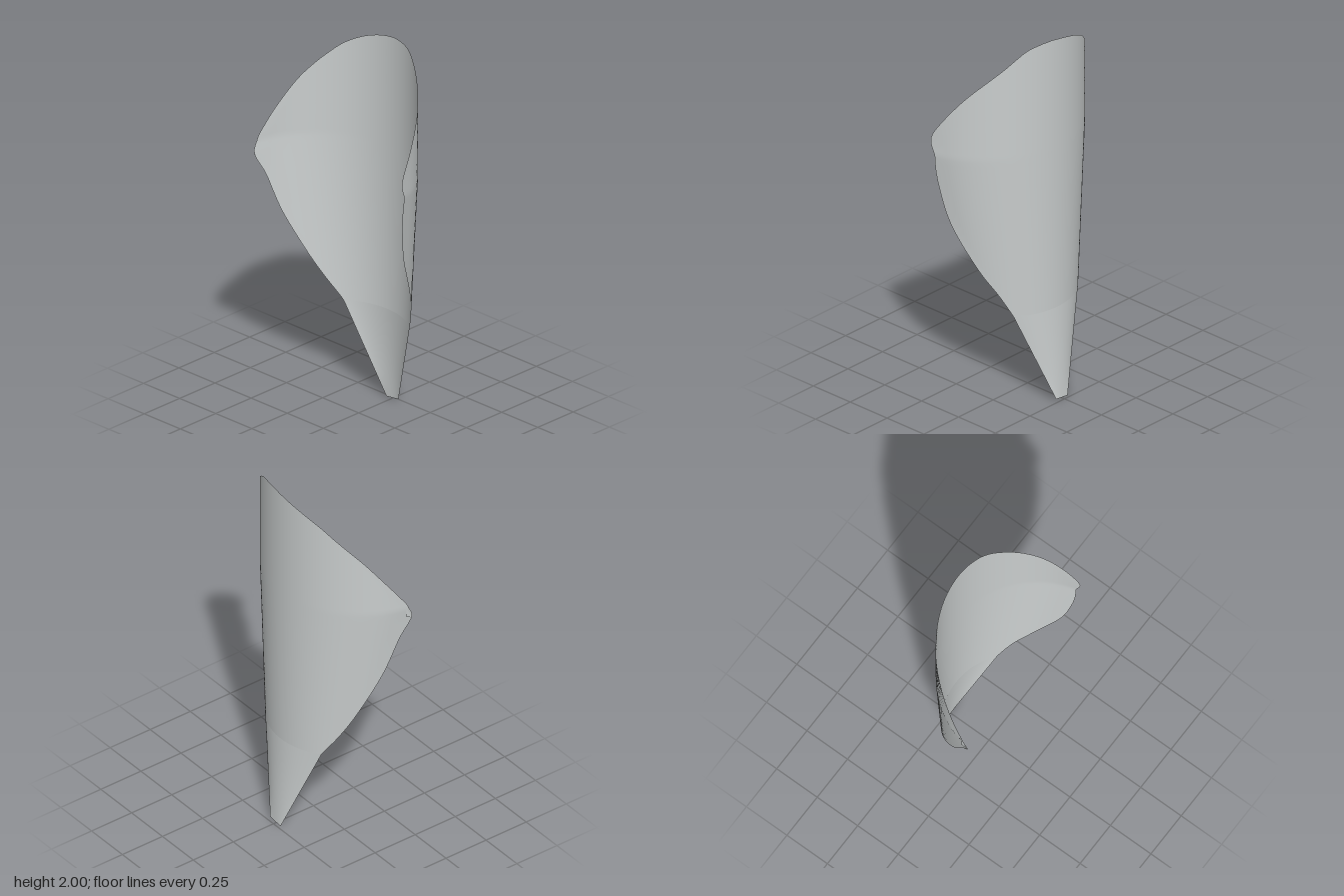
import * as THREE from 'three';

// Blade outline, bottom to top: height, right edge x, left edge x
const OUTLINE = [
  [0.5, -0.228, 0.232], [0.62, -0.295, 0.288], [0.75, -0.35, 0.35], [0.97, -0.417, 0.42],
  [1.2, -0.464, 0.462], [1.38, -0.495, 0.485], [1.49, -0.482, 0.491], [1.6, -0.452, 0.472],
  [1.7, -0.41, 0.438], [1.77, -0.365, 0.4], [1.84, -0.305, 0.345], [1.9, -0.24, 0.285],
  [1.95, -0.15, 0.23], [1.975, -0.08, 0.195], [1.99, -0.02, 0.16], [2.0, 0.04, 0.1],
];
const BACK = -0.204;

// Depth of the cupped blade: a circular arc that opens out with height
function depth(x, y) {
  const r = Math.min(0.3 + 0.145 * y, 0.502);
  return BACK + r - Math.sqrt(Math.max(r * r - x * x, 0));
}

// Skin a sheet through a grid given by point(u, v)
function sheet(cols, rows, point) {
  const pos = [], index = [];
  for (let j = 0; j <= rows; j++) {
    for (let i = 0; i <= cols; i++) pos.push(...point(i / cols, j / rows));
  }
  for (let j = 0; j < rows; j++) {
    for (let i = 0; i < cols; i++) {
      const a = j * (cols + 1) + i, b = a + cols + 1;
      index.push(a, a + 1, b + 1, a, b + 1, b);
    }
  }
  const g = new THREE.BufferGeometry();
  g.setAttribute('position', new THREE.Float32BufferAttribute(pos, 3));
  g.setIndex(index);
  g.computeVertexNormals();
  return g;
}

export function createModel() {
  const group = new THREE.Group();
  group.name = 'petal';
  const paleGrey = new THREE.MeshStandardMaterial({ color: 0xc9cdcd, side: THREE.DoubleSide });
  paleGrey.name = 'paleGrey';
  const add = (name, geometry) => {
    const mesh = new THREE.Mesh(geometry, paleGrey);
    mesh.name = name;
    group.add(mesh);
  };

  // Cupped blade between the two smooth edges
  const edges = new THREE.CatmullRomCurve3(OUTLINE.map(([y, a, b]) => new THREE.Vector3(a, y, b)));
  add('blade', sheet(48, 90, (u, v) => {
    const e = edges.getPoint(v);
    const x = THREE.MathUtils.lerp(e.x, e.z, u);
    return [x, e.y, depth(x, e.y)];
  }));

  // Straight claw tapering to a small flat foot
  const [y0, xa, xb] = OUTLINE[0];
  add('claw', sheet(48, 8, (u, v) => {
    const x = THREE.MathUtils.lerp(xa, xb, u);
    const footX = THREE.MathUtils.lerp(-0.038, 0.045, u);
    return [
      THREE.MathUtils.lerp(footX, x, v),
      y0 * v + 0.01 * u * (1 - v),
      THREE.MathUtils.lerp(-0.235, depth(x, y0), v),
    ];
  }));

  // Tiny curled lip on the right edge
  const root = [[-0.492, 1.4, 0.2], [-0.494, 1.35, 0.2]];
  const tip = [[-0.495, 1.385, 0.215], [-0.493, 1.33, 0.236]];
  add('curledLip', sheet(1, 1, (u, v) => (v ? tip : root)[u]));

  return group;
}
